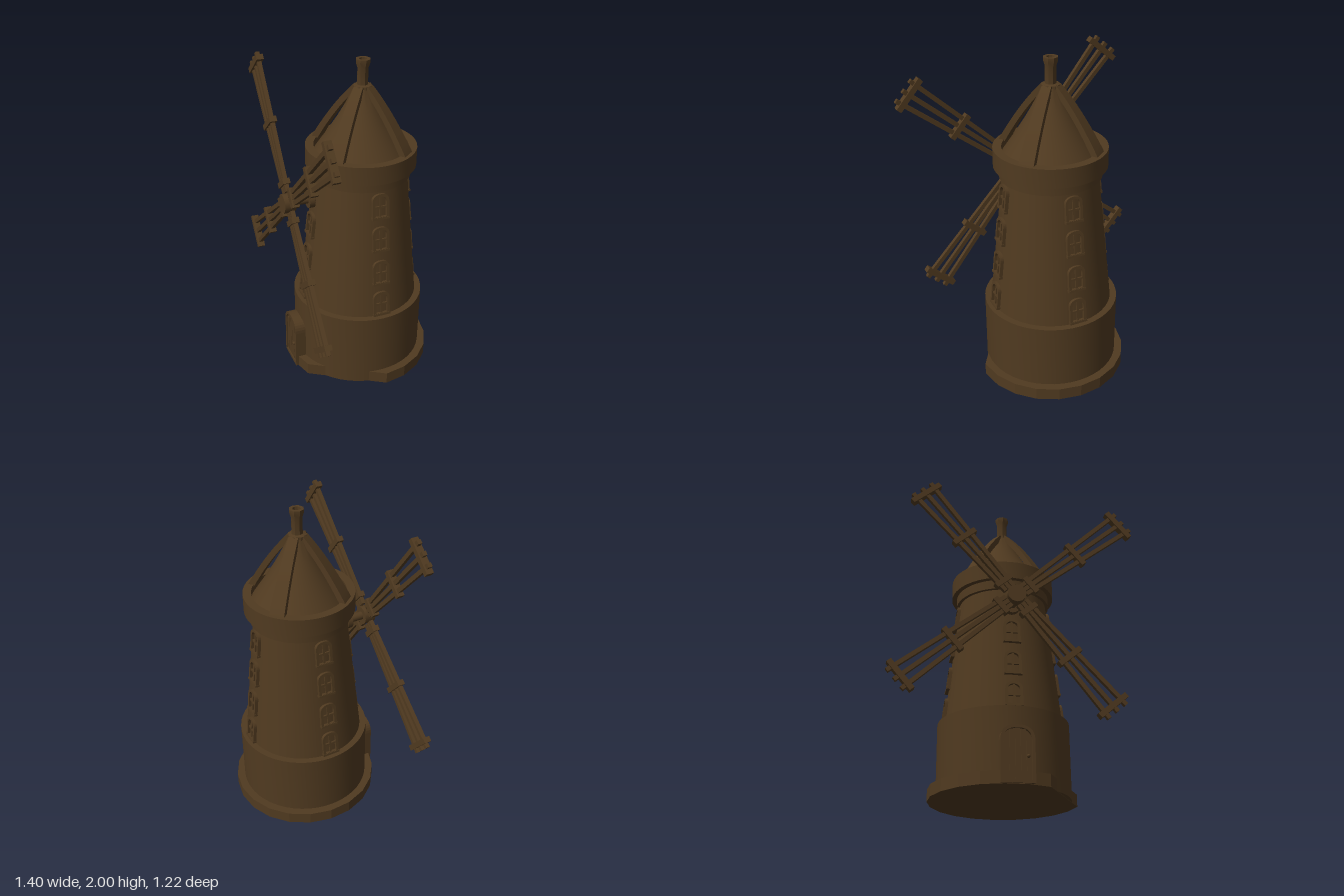
import * as THREE from 'three';
import { toCreasedNormals } from 'three/addons/utils/BufferGeometryUtils.js';

const wood = new THREE.MeshStandardMaterial({ color: 0x503a20 });
wood.name = 'dark brown';

const RAD = Math.PI / 180;

function add(parent, name, geometry, x = 0, y = 0, z = 0) {
  const mesh = new THREE.Mesh(geometry, wood);
  mesh.name = name;
  mesh.position.set(x, y, z);
  parent.add(mesh);
  return mesh;
}

function group(parent, name) {
  const g = new THREE.Group();
  g.name = name;
  parent.add(g);
  return g;
}

// Turned solid with sharp corners, profile listed from bottom to top
function turned(profile, sides = 48) {
  const pts = profile.map(([r, y]) => new THREE.Vector2(r, y));
  return toCreasedNormals(new THREE.LatheGeometry(pts, sides), 0.5);
}

// Arched outline standing on y = 0
function arch(w, h, rise, Type = THREE.Shape) {
  const s = new Type();
  s.moveTo(-w / 2, 0);
  s.lineTo(w / 2, 0);
  s.lineTo(w / 2, h - rise);
  s.bezierCurveTo(w / 2, h - rise * 0.3, w * 0.3, h, 0, h);
  s.bezierCurveTo(-w * 0.3, h, -w / 2, h - rise * 0.3, -w / 2, h - rise);
  return s;
}

function extrude(shape, depth) {
  return new THREE.ExtrudeGeometry(shape, { depth, bevelEnabled: false, curveSegments: 8 });
}

function archFrame(w, h, rise, t, depth) {
  const shape = arch(w, h, rise);
  const hole = arch(w - 2 * t, h - 2 * t, rise * 0.8, THREE.Path);
  const pts = hole.getPoints(8).map(p => new THREE.Vector2(p.x, p.y + t));
  shape.holes.push(new THREE.Path(pts));
  return extrude(shape, depth);
}

// Plinth: a many-sided slab with one long flat cut
function plinthGeometry() {
  const pts = [];
  for (let i = 0; i <= 17; i++) {
    const a = (92 + i * 293 / 17) * RAD;
    pts.push(new THREE.Vector2(0.461 * Math.sin(a), -0.461 * Math.cos(a)));
  }
  return extrude(new THREE.Shape(pts), 0.075).rotateX(-Math.PI / 2);
}

const wallRadius = y => 0.37 - (y - 0.475) * 0.087 / 0.825;

function addWindow(parent, angle, y) {
  const pivot = group(parent, 'window');
  pivot.rotation.y = angle;
  const w = group(pivot, 'windowFrame');
  w.position.set(0, y, wallRadius(y) - 0.012);
  w.rotation.x = -0.105;
  add(w, 'surround', archFrame(0.105, 0.16, 0.045, 0.016, 0.028));
  add(w, 'mullion', new THREE.BoxGeometry(0.012, 0.14, 0.02), 0, 0.08, 0.012);
  add(w, 'glazingBar', new THREE.BoxGeometry(0.09, 0.012, 0.02), 0, 0.075, 0.012);
  add(w, 'sill', new THREE.BoxGeometry(0.11, 0.014, 0.032), 0, 0.007, 0.015);
}

function addDoor(parent) {
  const door = group(parent, 'door');
  door.position.set(0, 0.004, 0.385);
  add(door, 'doorFrame', archFrame(0.2, 0.338, 0.085, 0.018, 0.08));
  add(door, 'doorBacking', extrude(arch(0.19, 0.33, 0.08), 0.062));
  // Planks with narrow gaps
  [0.27, 0.305, 0.312, 0.305, 0.27].forEach((h, i) => {
    add(door, 'plank', new THREE.BoxGeometry(0.029, h, 0.012), (i - 2) * 0.033, h / 2 + 0.008, 0.066);
  });
  add(door, 'knob', new THREE.SphereGeometry(0.011, 10, 8), 0.06, 0.155, 0.078);
}

// Bowed roof beam, wider at the eaves
function beamGeometry() {
  const s = new THREE.Shape();
  s.moveTo(0.315, 1.465);
  s.lineTo(0.305, 1.488);
  s.quadraticCurveTo(0.175, 1.715, 0.05, 1.845);
  s.lineTo(0.02, 1.84);
  s.lineTo(0.03, 1.815);
  s.quadraticCurveTo(0.155, 1.685, 0.275, 1.465);
  const g = new THREE.ExtrudeGeometry(s, { depth: 1, bevelEnabled: false, curveSegments: 10 });
  const p = g.attributes.position;
  for (let i = 0; i < p.count; i++) {
    const width = 0.05 + 0.14 * p.getX(i);
    p.setZ(i, (p.getZ(i) - 0.5) * width);
  }
  g.computeVertexNormals();
  return toCreasedNormals(g, 0.5).rotateY(-Math.PI / 2);
}

function addSail(parent, angle) {
  const sail = group(parent, 'sail');
  sail.rotation.z = angle;
  // Three spars fanning outwards
  const inner = 0.06, outer = 0.93;
  for (const k of [-1, 0, 1]) {
    const x0 = k * 0.03, x1 = k * 0.07;
    const spar = add(sail, 'spar', new THREE.BoxGeometry(0.026, Math.hypot(outer - inner, x1 - x0), 0.026),
      (x0 + x1) / 2, (inner + outer) / 2, 0);
    spar.rotation.z = -Math.atan2(x1 - x0, outer - inner);
  }
  // Crossbars
  for (const [r, length] of [[0.12, 0.12], [0.5, 0.17], [0.885, 0.22]]) {
    add(sail, 'crossbar', new THREE.BoxGeometry(length, 0.034, 0.045), 0, r, 0);
  }
}

export function createModel() {
  const model = new THREE.Group();
  model.name = 'windmill';
  const mill = group(model, 'mill');
  mill.position.set(0.197, 0, -0.152);
  mill.rotation.y = -0.435;

  // Tower
  add(mill, 'plinth', plinthGeometry());
  add(mill, 'drum', turned([[0, 0.002], [0.41, 0.002], [0.41, 0.475], [0.36, 0.475]]));
  add(mill, 'towerWall', turned([[0.37, 0.475], [0.283, 1.3]]));
  add(mill, 'parapet', turned([[0.27, 1.3], [0.303, 1.3], [0.303, 1.36], [0.334, 1.36],
    [0.334, 1.475], [0.283, 1.475], [0.283, 1.43], [0.24, 1.43]]));

  // Roof and chimney
  add(mill, 'roof', turned([[0.283, 1.43], [0.25, 1.48], [0.2, 1.555], [0.15, 1.635],
    [0.105, 1.715], [0.07, 1.785], [0.05, 1.835], [0, 1.84]]));
  for (let i = 0; i < 4; i++) {
    add(mill, 'roofBeam', beamGeometry()).rotation.y = 39 * RAD + i * Math.PI / 2 + Math.PI;
  }
  add(mill, 'chimney', turned([[0, 1.815], [0.055, 1.815], [0.055, 1.845], [0.034, 1.85], [0.034, 1.95],
    [0.044, 1.98], [0.044, 2], [0.024, 2], [0.024, 1.95], [0, 1.95]], 8));

  // Windows on four sides; the axle takes the place of the top front one
  for (let side = 0; side < 4; side++) {
    for (const y of [0.48, 0.69, 0.91, 1.12]) {
      if (side === 0 && y > 1.1) continue;
      addWindow(mill, side * Math.PI / 2, y);
    }
  }
  addDoor(mill);

  // Axle, hub and sails
  const rotor = group(mill, 'rotor');
  rotor.position.set(0, 1.165, 0.461);
  const disc = (r, d, n) => new THREE.CylinderGeometry(r, r, d, n).rotateX(Math.PI / 2);
  add(rotor, 'axle', disc(0.026, 0.2, 16), 0, 0, -0.09);
  add(rotor, 'axleFlange', disc(0.055, 0.035, 16), 0, 0, -0.135);
  add(rotor, 'hub', disc(0.058, 0.07, 12), 0, 0, 0.005);
  for (let i = 0; i < 4; i++) addSail(rotor, (40 + i * 90) * RAD);

  return model;
}
